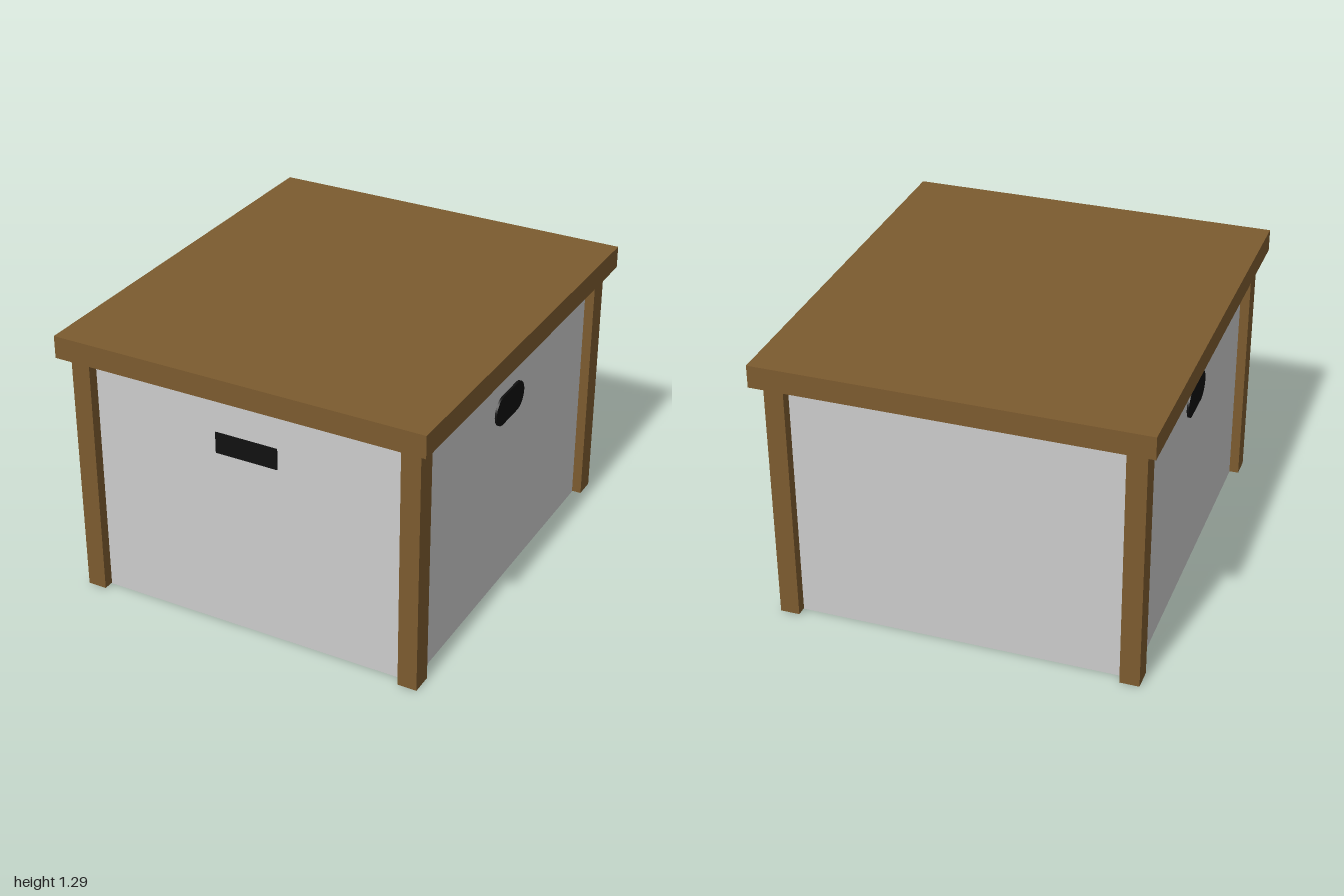
import * as THREE from 'three';

const wood = new THREE.MeshStandardMaterial({ color: 0x7c5b2f });
const panel = new THREE.MeshStandardMaterial({ color: 0xcccccc });
const black = new THREE.MeshStandardMaterial({ color: 0x101010 });

export function createModel() {
  const model = new THREE.Group();
  model.name = 'storageBox';

  function add(name, geometry, material, x, y, z) {
    const mesh = new THREE.Mesh(geometry, material);
    mesh.name = name;
    mesh.position.set(x, y, z);
    model.add(mesh);
    return mesh;
  }

  // Box body and overhanging lid
  add('body', new THREE.BoxGeometry(1.59, 1.18, 1.8), panel, 0, 0.59, 0);
  add('lid', new THREE.BoxGeometry(1.77, 0.105, 2), wood, 0, 1.2345, 0);

  // Corner posts wrapping the body's edges
  for (const sx of [1, -1]) {
    for (const sz of [1, -1]) {
      const name = (sz > 0 ? 'front' : 'back') + (sx > 0 ? 'Left' : 'Right') + 'Post';
      add(name, new THREE.BoxGeometry(0.09, 1.178, 0.1), wood, sx * 0.795, 0.593, sz * 0.9);
    }
  }

  // Label plate on the front
  add('frontPlate', new THREE.BoxGeometry(0.3, 0.1, 0.02), black, 0, 0.92, 0.896);

  // Rounded hand grips on both sides
  const r = 0.07, half = 0.075;
  const grip = new THREE.Shape();
  grip.moveTo(-half, -r);
  grip.lineTo(half, -r);
  grip.absarc(half, 0, r, -Math.PI / 2, Math.PI / 2, false);
  grip.lineTo(-half, r);
  grip.absarc(-half, 0, r, Math.PI / 2, Math.PI * 1.5, false);
  const gripGeometry = new THREE.ExtrudeGeometry(grip, { depth: 0.02, bevelEnabled: false, curveSegments: 16 });
  for (const sx of [1, -1]) {
    const mesh = add(sx > 0 ? 'leftGrip' : 'rightGrip', gripGeometry, black, sx * 0.785, 0.92, 0);
    mesh.rotation.y = sx * Math.PI / 2;
  }

  return model;
}
